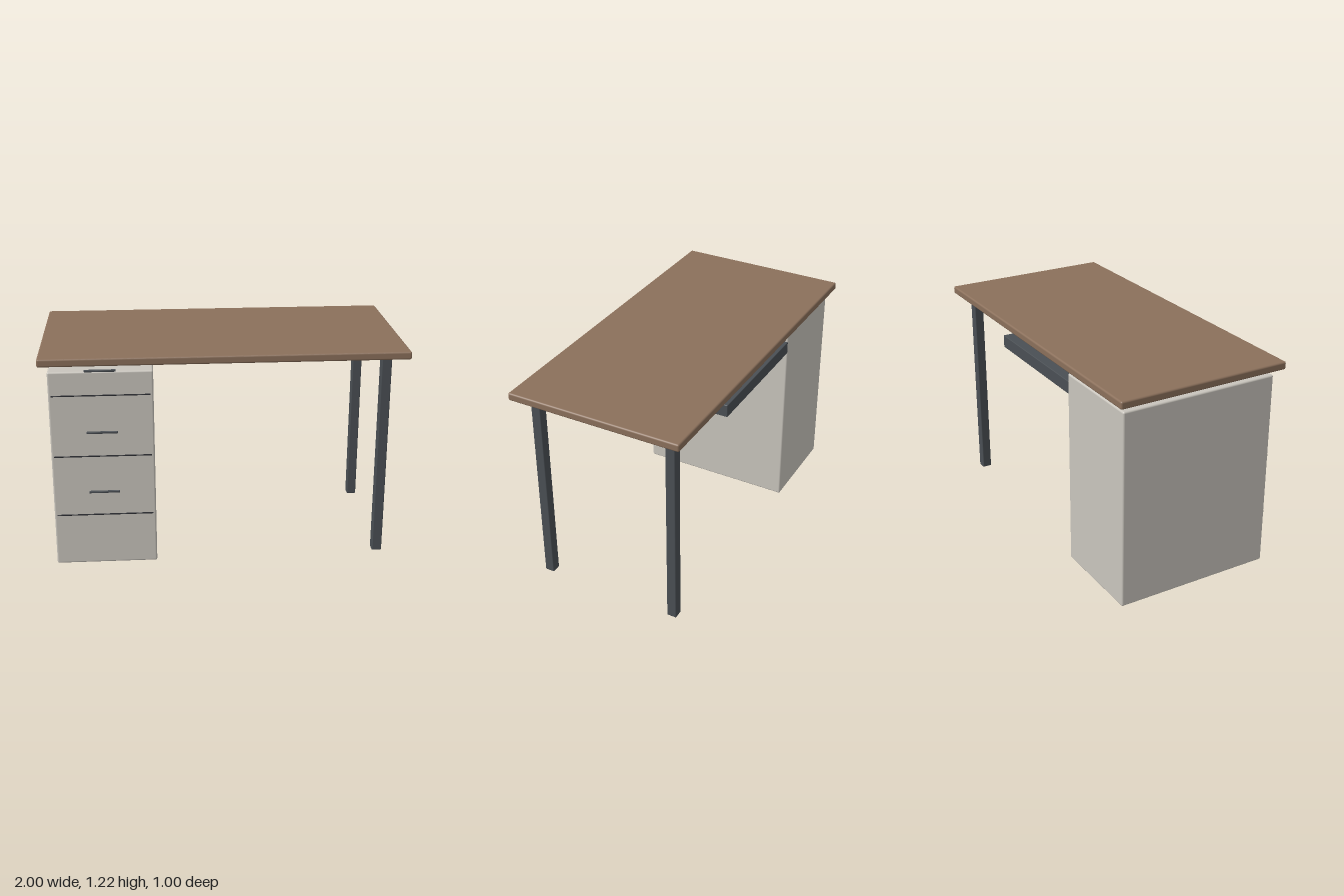
import * as THREE from 'three';
import { RoundedBoxGeometry } from 'three/addons/geometries/RoundedBoxGeometry.js';

const material = (color) => new THREE.MeshStandardMaterial({ color });

// Softly rounded box given by its [min, max] range on each axis
function block(name, mat, [x0, x1], [y0, y1], [z0, z1], radius) {
  const geometry = new RoundedBoxGeometry(x1 - x0, y1 - y0, z1 - z0, 3, radius);
  const mesh = new THREE.Mesh(geometry, mat);
  mesh.name = name;
  mesh.position.set((x0 + x1) / 2, (y0 + y1) / 2, (z0 + z1) / 2);
  return mesh;
}

export function createModel() {
  const wood = material(0x8b705b);
  const painted = material(0xc9c5bd);
  const metal = material(0x4a4f54);
  const dark = material(0x2c2e33);

  const desk = new THREE.Group();
  desk.name = 'desk';

  // Worktop
  desk.add(block('worktop', wood, [-1, 1], [1.174, 1.218], [-0.5, 0.5], 0.01));

  // Drawer pedestal, with a seam and a bar handle for each drawer
  const pedestal = new THREE.Group();
  pedestal.name = 'drawerPedestal';
  pedestal.add(block('cabinet', painted, [-0.952, -0.388], [0, 1.134], [-0.458, 0.46], 0.01));
  for (let i = 0; i < 3; i++) {
    const seamY = 0.302 + 0.35 * i;
    const handleY = seamY + 0.142;
    pedestal.add(block('drawerSeam', dark, [-0.936, -0.404], [seamY - 0.003, seamY + 0.003], [0.464, 0.47], 0.001));
    pedestal.add(block('drawerHandle', metal, [-0.754, -0.586], [handleY - 0.006, handleY + 0.006], [0.472, 0.484], 0.003));
  }
  desk.add(pedestal);

  // Front and back legs at the open end
  for (const z of [0.4, -0.4]) {
    desk.add(block(z > 0 ? 'frontLeg' : 'backLeg', metal, [0.854, 0.91], [0, 1.168], [z - 0.028, z + 0.028], 0.006));
  }

  // Cable tray under the back edge
  desk.add(block('cableTray', metal, [-0.39, 0.39], [1.016, 1.089], [-0.457, -0.308], 0.004));

  return desk;
}
